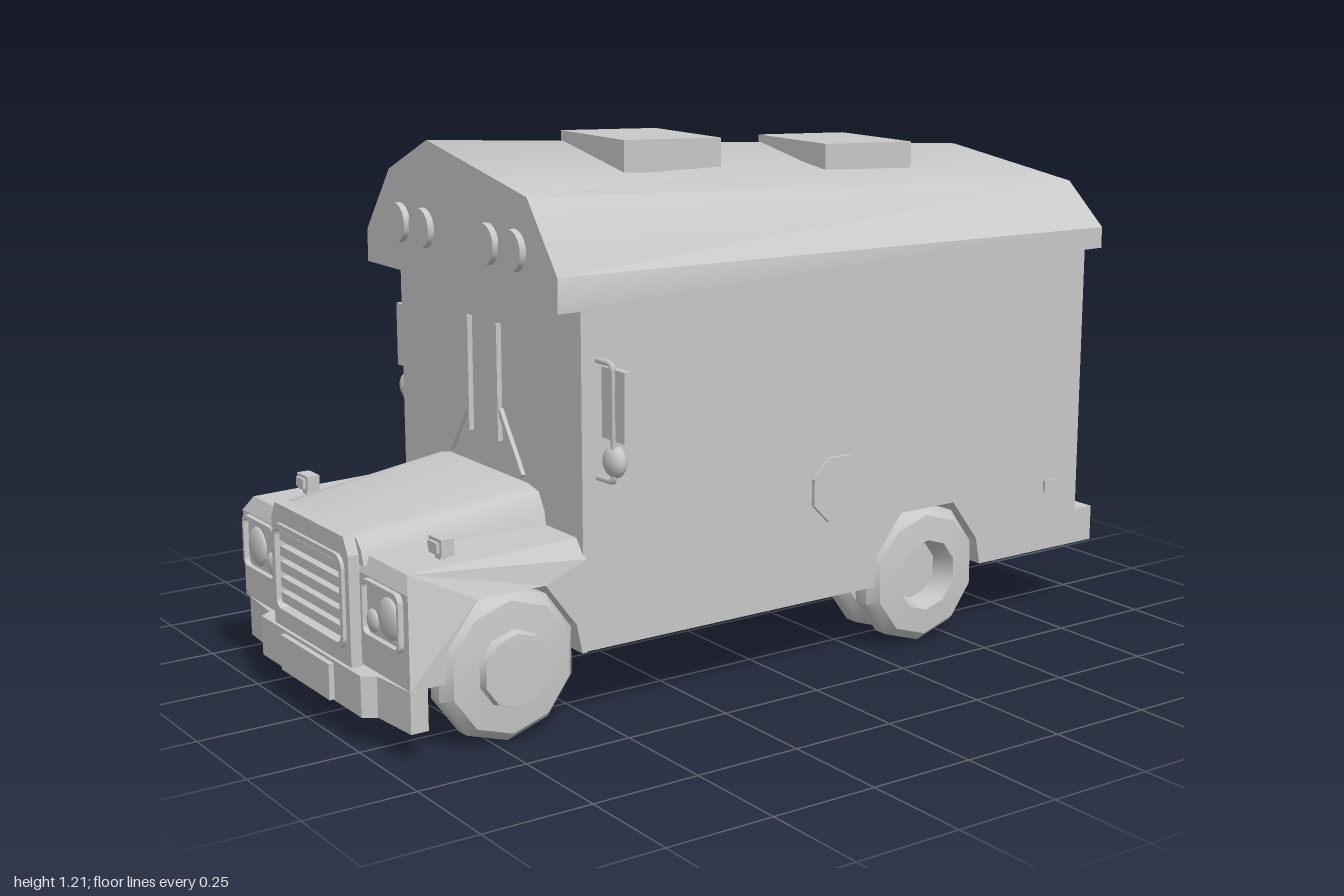
import * as THREE from 'three';
import { toCreasedNormals } from 'three/addons/utils/BufferGeometryUtils.js';

const grey = new THREE.MeshStandardMaterial({ color: 0xc8c8c8 });
grey.name = 'plain grey';

export function createModel() {
  const model = new THREE.Group();
  model.name = 'stepVan';

  const add = (name, geo, x = 0, y = 0, z = 0) => {
    const mesh = new THREE.Mesh(geo, grey);
    mesh.name = name;
    mesh.position.set(x, y, z);
    model.add(mesh);
    return mesh;
  };
  const box = (name, w, h, d, x, y, z) => add(name, new THREE.BoxGeometry(w, h, d), x, y, z);
  const shapeOf = (pts) => new THREE.Shape(pts.map(([a, b]) => new THREE.Vector2(a, b)));
  const solid = (shape, depth) =>
    new THREE.ExtrudeGeometry(shape, { depth, bevelEnabled: false, curveSegments: 8 });
  // Front outline (x, y) pushed along z
  const alongZ = (pts, z0, z1) => solid(shapeOf(pts), z1 - z0).translate(0, 0, z0);
  // Side outline (z, y) pushed along x
  const alongX = (pts, x0, x1) => solid(shapeOf(pts), x1 - x0).rotateY(-Math.PI / 2).translate(x1, 0, 0);
  const roundRect = (w, h, r) => {
    const s = new THREE.Shape(), a = w / 2 - r, b = h / 2 - r;
    s.absarc(a, b, r, 0, Math.PI / 2);
    s.absarc(-a, b, r, Math.PI / 2, Math.PI);
    s.absarc(-a, -b, r, Math.PI, Math.PI * 1.5);
    s.absarc(a, -b, r, Math.PI * 1.5, Math.PI * 2);
    return s;
  };
  const disc = (r, depth, sides) =>
    toCreasedNormals(new THREE.CylinderGeometry(r, r, depth, sides).rotateX(Math.PI / 2), 0.6);
  const tube = (pts, r, n) =>
    new THREE.TubeGeometry(new THREE.CatmullRomCurve3(pts.map((p) => new THREE.Vector3(...p)), false, 'catmullrom', 0.1), n, r, 8);
  // Wheel arch cut, from back to front
  const arch = (c) => [[c - 0.168, 0.165], [c - 0.155, 0.23], [c - 0.08, 0.33], [c + 0.08, 0.33], [c + 0.15, 0.24], [c + 0.16, 0.165]];
  const front = 0.715, rear = -0.41;

  // Cargo body with arches, and the floor between the wheels
  add('body', alongX([[-0.89, 0.165], ...arch(rear), [0.54, 0.165], [0.54, 0.91], [-0.89, 0.91]], -0.39, 0.39));
  box('rearFloor', 0.36, 0.2, 0.36, 0, 0.266, rear);

  // Roof sinks towards the back
  const roof = alongZ([[-0.415, 0.9], [0.415, 0.9], [0.415, 0.975], [0.3, 1.125], [-0.12, 1.205],
    [-0.3, 1.125], [-0.415, 0.975]], -0.92, 0.61);
  const rp = roof.attributes.position;
  for (let i = 0; i < rp.count; i++) {
    const t = (0.61 - rp.getZ(i)) / 1.53;
    rp.setY(i, 0.9 + (rp.getY(i) - 0.9) * (1 - t / 3));
  }
  add('roof', toCreasedNormals(roof, 0.75));
  for (const [z, y] of [[0, 1.195], [-0.56, 1.152]])
    add('roofHatch', alongX([[z, y - 0.065], [z + 0.26, y - 0.065], [z + 0.26, y + 0.01], [z, y]], -0.13, 0.13));
  for (const x of [-0.25, -0.14, 0.14, 0.25]) add('roofLight', disc(0.045, 0.03, 20), x, 1.01, 0.61);

  // Fenders with rounded outer top edge
  const fenders = alongX([[0.535, 0.165], ...arch(front), [0.955, 0.165], [0.955, 0.365], [0.94, 0.4],
    [0.535, 0.41], [0.535, 0.37]], -0.395, 0.395);
  const fp = fenders.attributes.position;
  for (let i = 0; i < fp.count; i++)
    if (fp.getY(i) > 0.39) fp.setX(i, Math.sign(fp.getX(i)) * 0.365);
  fenders.computeVertexNormals();
  add('fenders', fenders);
  box('engineBay', 0.36, 0.2, 0.4, 0, 0.266, 0.74);

  // Hood, narrowing and dropping to the nose
  const hood = alongZ([[-0.25, 0.38], [0.25, 0.38], [0.238, 0.44], [0.215, 0.478], [0.17, 0.487],
    [-0.17, 0.487], [-0.215, 0.478], [-0.238, 0.44]], 0.535, 0.955);
  const hp = hood.attributes.position;
  for (let i = 0; i < hp.count; i++)
    if (hp.getZ(i) > 0.9) hp.setXYZ(i, hp.getX(i) * 0.82, 0.38 + (hp.getY(i) - 0.38) * 0.53, hp.getZ(i));
  add('hood', toCreasedNormals(hood, 0.7));

  // Grille surround and bars
  const surround = shapeOf([[-0.185, 0.16], [0.185, 0.16], [0.185, 0.4], [0.165, 0.438], [-0.165, 0.438], [-0.185, 0.4]]);
  const opening = new THREE.Path(roundRect(0.31, 0.18, 0.02).getPoints(6).map((p) => p.add(new THREE.Vector2(0, 0.295))));
  surround.holes.push(opening);
  add('grilleSurround', solid(surround, 0.03), 0, 0, 0.95);
  const rim = roundRect(0.335, 0.205, 0.03);
  rim.holes.push(roundRect(0.31, 0.18, 0.02));
  add('grilleRim', solid(rim, 0.01), 0, 0.295, 0.978);
  for (let i = 0; i < 5; i++) box('grilleBar', 0.31, 0.022, 0.02, 0, 0.225 + i * 0.035, 0.966);

  // Front bumper with swept corners, and its blank plate
  const half = [[0.385, 0.91], [0.385, 0.95], [0.26, 0.96], [0.24, 0.988]];
  const bumper = shapeOf([...half, ...half.map(([x, z]) => [-x, z]).reverse()]);
  add('frontBumper', solid(bumper, 0.09).rotateX(Math.PI / 2), 0, 0.16, 0);
  box('frontPlate', 0.235, 0.08, 0.014, 0, 0.113, 0.993);

  // Wheels: axle along x, outer side facing +x
  const wheel = (profile) => toCreasedNormals(
    new THREE.LatheGeometry(profile.map(([r, h]) => new THREE.Vector2(r, h)), 10, Math.PI / 10).rotateZ(-Math.PI / 2), 0.7);
  const tyre = [[0, 0], [0.12, 0], [0.15, 0.008], [0.167, 0.03], [0.167, 0.065], [0.145, 0.09], [0.085, 0.096]];
  const frontWheel = wheel([...tyre, [0.08, 0.115], [0, 0.117]]);
  const rearWheel = wheel([...tyre, [0.07, 0.04], [0, 0.04]]);

  for (const s of [-1, 1]) {
    const putWheel = (name, geo, x, z) => {
      add(name, geo, s * x, 0.167, z).rotation.y = s < 0 ? Math.PI : 0;
    };
    putWheel('frontWheel', frontWheel, 0.3, front);
    putWheel('rearInnerWheel', rearWheel, 0.19, rear);
    putWheel('rearOuterWheel', rearWheel, 0.298, rear);

    // Headlights
    const bezel = roundRect(0.165, 0.125, 0.02);
    bezel.holes.push(roundRect(0.15, 0.11, 0.015));
    add('headlightBezel', solid(bezel, 0.014), s * 0.292, 0.3, 0.953);
    add('headlight', new THREE.SphereGeometry(0.045, 20, 12).scale(1, 1, 0.3), s * 0.315, 0.297, 0.955);
    add('sidelight', new THREE.SphereGeometry(0.025, 16, 10).scale(1, 1, 0.4), s * 0.243, 0.275, 0.955);

    // Turn lamp on the fender
    box('turnLamp', 0.052, 0.036, 0.03, s * 0.31, 0.43, 0.83);
    box('turnLampLens', 0.036, 0.022, 0.008, s * 0.31, 0.43, 0.848);
    box('turnLampFoot', 0.02, 0.02, 0.02, s * 0.31, 0.405, 0.83);

    // Mirrors on a bracket
    add('mirrorBracket', tube([[s * 0.385, 0.79, 0.5], [s * 0.44, 0.79, 0.5], [s * 0.45, 0.775, 0.5],
      [s * 0.45, 0.55, 0.5], [s * 0.44, 0.542, 0.5], [s * 0.385, 0.54, 0.5]], 0.007, 30));
    box('mirror', 0.085, 0.15, 0.018, s * 0.449, 0.705, 0.492);
    add('roundMirror', new THREE.SphereGeometry(0.035, 16, 12).scale(1, 1, 0.6), s * 0.445, 0.585, 0.495);

    // Wipers
    box('wiperBlade', 0.01, 0.26, 0.012, s * 0.063, 0.69, 0.547);
    box('wiperArm', 0.012, 0.16, 0.01, s * 0.111, 0.565, 0.545).rotation.z = s * 0.61;

    // Side and rear lamps
    box('sideMarker', 0.012, 0.03, 0.05, s * 0.39, 0.325, -0.805);
    add('tailLight', solid(roundRect(0.17, 0.075, 0.036), 0.014), s * 0.275, 0.325, -0.9);
    add('reverseLight', disc(0.027, 0.014, 14), s * 0.135, 0.32, -0.893);
    box('rearMarker', 0.085, 0.028, 0.025, s * 0.09, 0.485, -0.9);
    box('rearBumperEnd', 0.255, 0.085, 0.06, s * 0.2625, 0.2075, -0.915);
  }
  box('rearBumperCentre', 0.28, 0.085, 0.045, 0, 0.2075, -0.9075);

  // Fuel cap on the left side
  add('fuelCap', toCreasedNormals(new THREE.CylinderGeometry(0.08, 0.08, 0.02, 8, 1, false, Math.PI / 8)
    .rotateZ(Math.PI / 2), 0.5), 0.39, 0.42, -0.14);

  // Entry step below the right door
  add('stepWell', alongZ([[-0.39, 0.055], [-0.125, 0.055], [0, 0.17], [-0.39, 0.17]], 0.095, 0.5));
  // Door frame and its rear seam
  box('doorFrontPost', 0.012, 0.84, 0.035, -0.392, 0.475, 0.4825);
  box('doorSill', 0.012, 0.025, 0.38, -0.392, 0.0675, 0.29);
  box('doorSeam', 0.008, 0.84, 0.008, -0.391, 0.475, 0.105);

  // Exhaust pipe
  const exhaust = tube([[-0.125, 0.165, -0.55], [-0.125, 0.152, -0.75], [-0.125, 0.138, -0.88], [-0.125, 0.115, -0.99]], 0.025, 16);
  add('exhaust', exhaust);
  add('exhaustEnd', new THREE.CircleGeometry(0.025, 10).rotateY(Math.PI).rotateX(-0.2), -0.125, 0.115, -0.99);
  return model;
}
